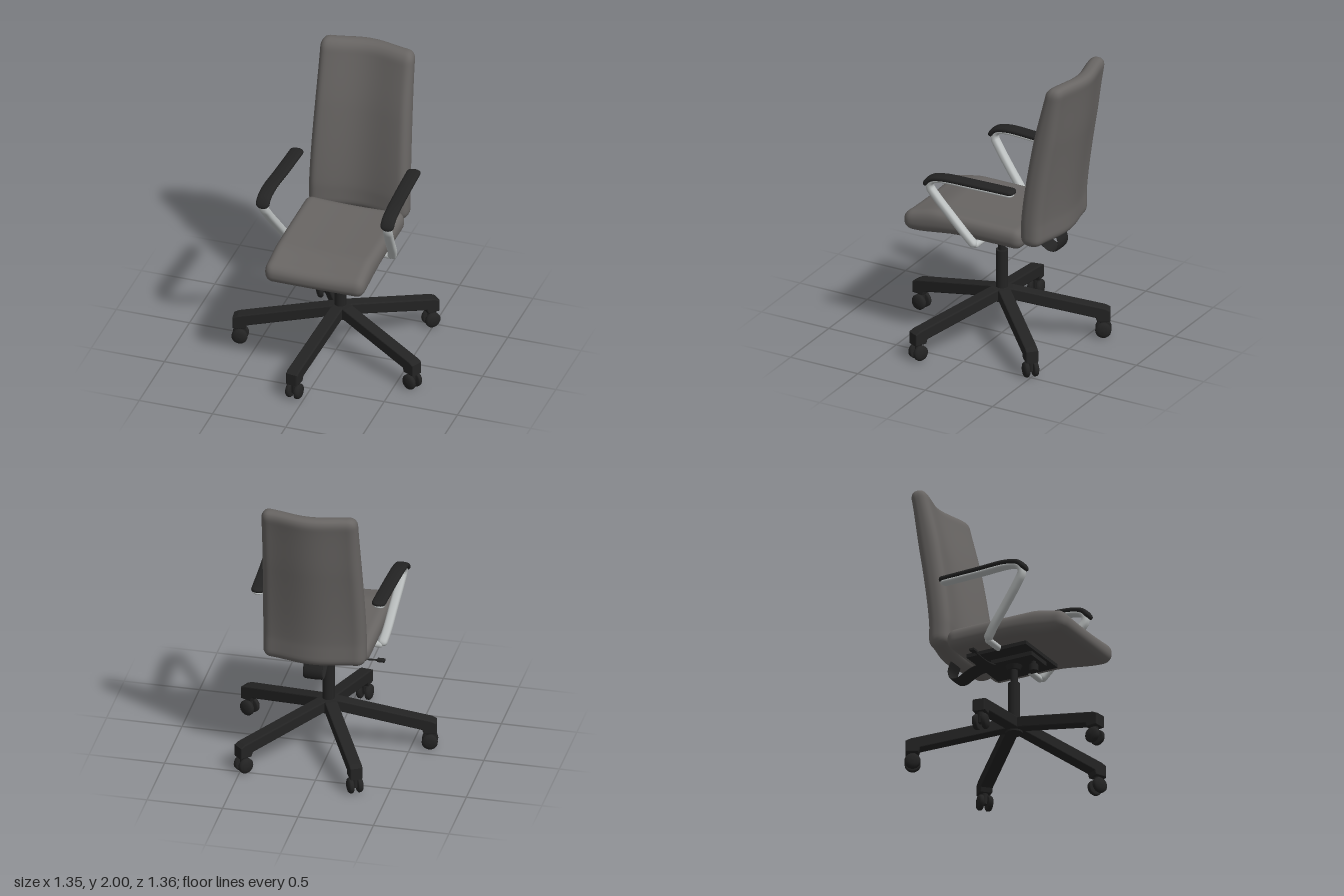
import * as THREE from 'three';
import { mergeVertices } from 'three/addons/utils/BufferGeometryUtils.js';

const CX = 0.025, CZ = -0.015; // column axis
const V = (x, y, z) => new THREE.Vector3(x, y, z);

function material(name, color) {
  const m = new THREE.MeshStandardMaterial({ color });
  m.name = name;
  return m;
}

function add(parent, name, geometry, mat, x = 0, y = 0, z = 0) {
  const mesh = new THREE.Mesh(geometry, mat);
  mesh.name = name;
  mesh.position.set(x, y, z);
  parent.add(mesh);
  return mesh;
}

// Box with elliptical edge radii, then bent by a rule
function cushion(size, radius, segments, rule) {
  let g = new THREE.BoxGeometry(...size, ...segments);
  g.deleteAttribute('normal');
  g.deleteAttribute('uv');
  g = mergeVertices(g, 1e-5);
  const half = V(...size).multiplyScalar(0.5), r = V(...radius);
  const inner = half.clone().sub(r), p = V(0, 0, 0);
  const pos = g.attributes.position;
  for (let i = 0; i < pos.count; i++) {
    p.fromBufferAttribute(pos, i);
    const c = p.clone().clamp(inner.clone().negate(), inner);
    const d = p.sub(c).divide(r).normalize().multiply(r);
    p.copy(c.add(d));
    rule(p);
    pos.setXYZ(i, p.x, p.y, p.z);
  }
  g.computeVertexNormals();
  return g;
}

// Closed rounded bar along a path lying close to the YZ plane
function bar(points, halfWidth, halfHeight, tip, n = 60, sides = 20) {
  const curve = new THREE.CatmullRomCurve3(points);
  const length = curve.getLength(), pos = [], idx = [];
  for (let i = 0; i <= n; i++) {
    const t = (1 - Math.cos(Math.PI * i / n)) / 2;
    const c = curve.getPointAt(t), T = curve.getTangentAt(t);
    const S = V(1, 0, 0).addScaledVector(T, -T.x).normalize();
    const N = T.clone().cross(S);
    const e = Math.min(1, Math.min(t, 1 - t) * length / tip);
    const k = Math.max(0.001, Math.sqrt(1 - (1 - e) ** 2));
    for (let j = 0; j < sides; j++) {
      const a = j / sides * Math.PI * 2, ca = Math.cos(a), sa = Math.sin(a);
      const u = Math.sign(ca) * Math.abs(ca) ** 0.75 * halfWidth(t) * k;
      const v = Math.sign(sa) * Math.abs(sa) ** 0.75 * halfHeight(t) * k;
      const q = c.clone().addScaledVector(S, u).addScaledVector(N, v);
      pos.push(q.x, q.y, q.z);
      if (i < n) {
        const b = i * sides, j2 = (j + 1) % sides;
        idx.push(b + j, b + j2, b + sides + j, b + j2, b + sides + j2, b + sides + j);
      }
    }
  }
  const g = new THREE.BufferGeometry();
  g.setAttribute('position', new THREE.Float32BufferAttribute(pos, 3));
  g.setIndex(idx);
  g.computeVertexNormals();
  return g;
}

export function createModel() {
  const fabric = material('grey upholstery', 0x686563);
  const black = material('black plastic', 0x232323);
  const silver = material('silver metal', 0xbcc0c0);
  const model = new THREE.Group();
  model.name = 'officeChair';
  const step = THREE.MathUtils.smoothstep, lerp = THREE.MathUtils.lerp;

  // Seat: slightly dished, with a drooping front lip
  add(model, 'seat', cushion([0.68, 0.14, 0.88], [0.055, 0.065, 0.06], [40, 14, 48], p => {
    const z = p.z + 0.1;
    const bottom = 0.798 - 0.038 * step(z, 0.1, 0.48);
    const top = 0.94 - 0.045 * step(z, 0.28, 0.56);
    const f = p.y / 0.14 + 0.5;
    p.y = lerp(bottom, top, f) - 0.014 * f * (1 - (p.x / 0.34) ** 2);
    p.z = z;
  }), fabric, CX);

  // Backrest: leaning back, with its sides wrapped forward
  add(model, 'backrest', cushion([0.68, 1.16, 0.15], [0.055, 0.06, 0.068], [40, 60, 14], p => {
    const y = p.y + 1.42, u = p.x / 0.34;
    const centre = -0.452 - 0.168 * Math.max(0, y - 1) ** 1.3;
    p.z = p.z * (1 - 0.22 * step(y, 1.55, 2)) + centre + 0.026 * (1 - Math.cos(Math.PI * u));
    p.x *= 1 - 0.065 * step(y, 0.9, 2);
    p.y = y;
  }), fabric, CX);

  // Armrests
  for (const s of [1, -1]) {
    const arm = new THREE.Group();
    arm.name = s > 0 ? 'leftArmrest' : 'rightArmrest';
    arm.position.x = CX;
    model.add(arm);
    const path = list => list.map(([x, y, z]) => V(s * x, y, z));
    add(arm, 'armFrame', bar(path([
      [0.40, 1.231, -0.33], [0.41, 1.232, -0.05], [0.422, 1.231, 0.19], [0.425, 1.212, 0.262],
      [0.424, 1.17, 0.28], [0.414, 1.1, 0.237], [0.392, 0.97, 0.135], [0.374, 0.86, 0.045],
      [0.352, 0.775, -0.02]]),
      t => lerp(0.036, 0.03, step(t, 0.4, 0.6)),
      t => lerp(0.014, 0.026, step(t, 0.42, 0.6)), 0.03), silver);
    add(arm, 'armPad', bar(path([
      [0.398, 1.252, -0.34], [0.41, 1.253, -0.05], [0.423, 1.251, 0.18], [0.425, 1.228, 0.268],
      [0.425, 1.175, 0.313]]),
      () => 0.046, () => 0.019, 0.035), black);
    // Foot of the arm running under the seat
    const foot = add(arm, 'armFoot', new THREE.CapsuleGeometry(0.022, 0.13, 6, 14), silver, s * 0.275, 0.782, -0.015);
    foot.rotation.z = Math.PI / 2;
  }

  // Tilt mechanism under the seat
  add(model, 'mountingPlate', new THREE.BoxGeometry(0.42, 0.025, 0.44), black, CX, 0.776, -0.03);
  add(model, 'tiltHousing', new THREE.BoxGeometry(0.2, 0.035, 0.3), black, CX, 0.752, 0.02);
  add(model, 'columnSocket', new THREE.CylinderGeometry(0.06, 0.04, 0.04, 24), black, CX, 0.725, CZ);
  add(model, 'knobStem', new THREE.CylinderGeometry(0.016, 0.016, 0.05, 16), black, CX, 0.725, 0.13);
  add(model, 'tensionKnob', new THREE.CylinderGeometry(0.03, 0.03, 0.045, 20), black, CX, 0.69, 0.13);

  // Height lever
  const rod = new THREE.CatmullRomCurve3([
    V(-0.02, 0.755, -0.11), V(-0.07, 0.73, -0.11), V(-0.17, 0.714, -0.11), V(-0.33, 0.718, -0.11)]);
  add(model, 'leverRod', new THREE.TubeGeometry(rod, 24, 0.006, 8), black);
  add(model, 'leverHandle', new THREE.BoxGeometry(0.05, 0.014, 0.035), black, -0.345, 0.719, -0.11);

  // Sprung strip joining the seat to the backrest
  const strip = new THREE.CatmullRomCurve3([
    V(0, 0.77, -0.2), V(0, 0.768, -0.28), V(0, 0.745, -0.34), V(0, 0.716, -0.4),
    V(0, 0.725, -0.45), V(0, 0.775, -0.468), V(0, 0.86, -0.44)]);
  add(model, 'backBracket', bar(strip.points, () => 0.065, () => 0.006, 0.01), black, CX);

  // Gas column
  add(model, 'columnInner', new THREE.CylinderGeometry(0.024, 0.024, 0.2, 24), black, CX, 0.66, CZ);
  add(model, 'columnOuter', new THREE.CylinderGeometry(0.04, 0.04, 0.33, 28), black, CX, 0.445, CZ);
  add(model, 'baseHub', new THREE.CylinderGeometry(0.068, 0.055, 0.09, 28), black, CX, 0.3, CZ);

  // Five-legged base with twin-wheel casters
  const side = new THREE.Shape([
    [0, 0.342], [0.07, 0.338], [0.665, 0.204], [0.692, 0.19], [0.692, 0.122], [0.622, 0.122],
    [0.612, 0.15], [0.3, 0.222], [0.07, 0.275], [0, 0.275]].map(a => new THREE.Vector2(...a)));
  const legShape = new THREE.ExtrudeGeometry(side, {
    depth: 0.064, bevelEnabled: true, bevelSize: 0.008, bevelThickness: 0.01, bevelSegments: 3 });
  legShape.translate(0, 0, -0.032);
  const wheelShape = new THREE.LatheGeometry([
    [0, -0.019], [0.044, -0.019], [0.052, -0.012], [0.052, 0.004], [0.044, 0.014], [0.025, 0.02],
    [0, 0.022]].map(a => new THREE.Vector2(...a)), 24);
  for (let i = 0; i < 5; i++) {
    const leg = new THREE.Group();
    leg.name = 'baseLeg' + (i + 1);
    leg.position.set(CX, 0, CZ);
    leg.rotation.y = -THREE.MathUtils.degToRad(26 + 72 * i);
    model.add(leg);
    add(leg, 'legArm', legShape, black);
    add(leg, 'casterStem', new THREE.CylinderGeometry(0.024, 0.02, 0.09, 16), black, 0.655, 0.085, 0);
    const axle = add(leg, 'casterAxle', new THREE.CylinderGeometry(0.015, 0.015, 0.05, 12), black, 0.655, 0.053, 0);
    axle.rotation.x = Math.PI / 2;
    for (const s of [1, -1]) {
      const wheel = add(leg, 'casterWheel', wheelShape, black, 0.655, 0.053, s * 0.032);
      wheel.rotation.x = s * Math.PI / 2;
    }
  }
  return model;
}
